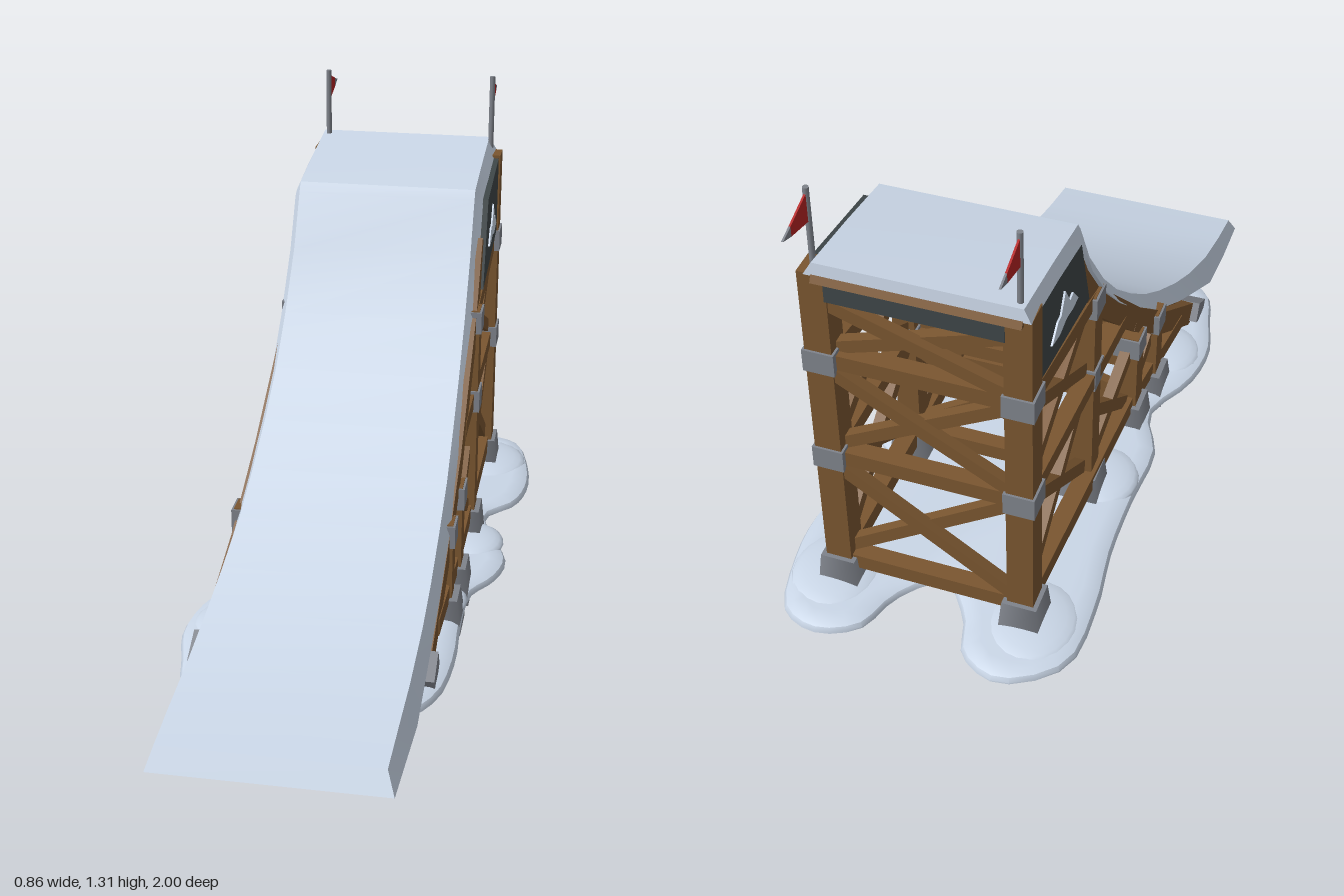
import * as THREE from 'three';
import { toCreasedNormals } from 'three/addons/utils/BufferGeometryUtils.js';

export function createModel() {
  const model = new THREE.Group();
  model.name = 'snowRamp';
  const paint = (name, color) => {
    const m = new THREE.MeshStandardMaterial({ color });
    m.name = name;
    return m;
  };
  const snow = paint('snow', 0xd0ddee);
  const wood = paint('wood', 0x7a5630);
  const steel = paint('greyMetal', 0x7f838b);
  const dark = paint('darkPanel', 0x3e4648);
  const red = paint('flagRed', 0xb52222);

  const add = (name, geometry, material) => {
    const mesh = new THREE.Mesh(geometry, material);
    mesh.name = name;
    model.add(mesh);
    return mesh;
  };
  const box = (name, w, h, d, x, y, z, material) =>
    add(name, new THREE.BoxGeometry(w, h, d), material).position.set(x, y, z);
  // Square timber between two points
  const beam = (name, a, b, w, t = w) => {
    const p = new THREE.Vector3(...a), q = new THREE.Vector3(...b);
    const mesh = add(name, new THREE.BoxGeometry(t, w, p.distanceTo(q)), wood);
    mesh.position.copy(p).add(q).multiplyScalar(0.5);
    mesh.lookAt(q);
  };
  // Flat plate in the z-y plane
  const plate = (name, points, x, thick, material) => {
    const shape = new THREE.Shape(points.map(p => new THREE.Vector2(...p)));
    const g = new THREE.ExtrudeGeometry(shape, { depth: thick, bevelEnabled: false });
    g.rotateY(-Math.PI / 2).translate(x + thick / 2, 0, 0);
    add(name, g, material);
  };

  // Ramp skin: closed loft of four-cornered sections
  const loft = (name, sections, material) => {
    const pos = [];
    const quad = (a, b, c, d) => pos.push(...a, ...b, ...c, ...a, ...c, ...d);
    for (let i = 0; i < sections.length - 1; i++) {
      const s = sections[i], t = sections[i + 1];
      for (let k = 0; k < 4; k++) quad(s[k], s[(k + 1) % 4], t[(k + 1) % 4], t[k]);
    }
    const e = sections[sections.length - 1];
    quad(...[...sections[0]].reverse());
    quad(...e);
    const g = new THREE.BufferGeometry();
    g.setAttribute('position', new THREE.Float32BufferAttribute(pos, 3));
    add(name, toCreasedNormals(g, 0.45), material);
  };
  // Rows: top z, y; underside z, y; outer left and right x
  const rows = [
    [0.965, 0.08, 1.0, 0.025, -0.36, 0.25],
    [0.83, 0.103, 0.85, 0.02, -0.357, 0.255],
    [0.68, 0.134, 0.7, 0.022, -0.35, 0.262],
    [0.515, 0.193, 0.5, 0.13, -0.337, 0.27],
    [0.39, 0.25, 0.375, 0.195, -0.325, 0.274],
    [0.25, 0.327, 0.235, 0.278, -0.31, 0.277],
    [0.12, 0.413, 0.1, 0.372, -0.3, 0.28],
    [0, 0.508, -0.02, 0.475, -0.29, 0.28],
    [-0.12, 0.615, -0.145, 0.592, -0.282, 0.28],
    [-0.235, 0.74, -0.262, 0.72, -0.277, 0.28],
    [-0.35, 0.897, -0.38, 0.88, -0.272, 0.28],
    [-0.425, 1.04, -0.455, 1.02, -0.27, 0.28],
    [-0.445, 1.067, -0.475, 1.032, -0.27, 0.28],
    [-0.64, 1.095, -0.64, 1.058, -0.27, 0.28],
    [-0.835, 1.117, -0.838, 1.08, -0.27, 0.28],
  ];
  loft('snowSlope', rows.map(([zt, yt, zb, yb, l, r]) =>
    [[l + 0.018, yt, zt], [r - 0.022, yt, zt], [r, yb, zb], [l, yb, zb]]), snow);
  // Wooden deck carrying the snow
  loft('rampDeck', rows.slice(3).map(([, , z, y, l, r]) =>
    [[l + 0.02, y + 0.004, z], [r - 0.02, y + 0.004, z],
      [r - 0.02, y - 0.014, z - 0.01], [l + 0.02, y - 0.014, z - 0.01]]), wood);

  // Frame x for a side (1 = left, -1 = right), following the slanted ramp
  const frameX = (side, z) => side > 0
    ? 0.265 - 0.03 * Math.max(0, z + 0.1)
    : -0.235 - 0.105 * Math.max(0, z + 0.35);

  // Post rows: z, post top, foot top, width, bracket heights
  const posts = [
    [-0.797, 1.08, 0.13, 0.07, [0.49, 0.81]],
    [-0.31, 0.76, 0.125, 0.064, [0.48, 0.725]],
    [0.01, 0.36, 0.11, 0.064, [0.325]],
    [0.17, 0.325, 0.1, 0.06, [0.29]],
  ];
  for (const side of [1, -1]) {
    const at = (z, y) => [frameX(side, z), y, z];
    for (const [z, top, footTop, w, brackets] of posts) {
      const x = frameX(side, z);
      box('post', w, top - 0.05, w, x, (top + 0.05) / 2, z, wood);
      const foot = new THREE.CylinderGeometry(0.066, 0.083, footTop, 4);
      foot.rotateY(Math.PI / 4);
      add('foot', foot, steel).position.set(x, footTop / 2, z);
      for (const y of brackets) box('bracket', w + 0.012, 0.065, w + 0.012, x, y, z, steel);
    }
    // Chord following the underside of the ramp
    const chord = [[0.5, 0.055], [0.22, 0.235], [0, 0.42], [-0.3, 0.72], [-0.43, 0.92]];
    for (let i = 0; i < chord.length - 1; i++)
      beam('chord', at(...chord[i]), at(...chord[i + 1]), 0.07, 0.045);
    const toe = add('chordFoot', new THREE.BoxGeometry(0.08, 0.06, 0.09), steel);
    toe.position.set(...at(0.51, 0.06));
    toe.rotation.x = 0.5;
    // Rails
    beam('bottomRail', at(0.38, 0.115), at(0.01, 0.115), 0.05);
    beam('bottomRail', at(0.01, 0.115), at(-0.8, 0.115), 0.05);
    beam('middleRail', at(-0.08, 0.48), at(-0.8, 0.485), 0.045);
    beam('topRail', at(-0.31, 0.735), at(-0.8, 0.81), 0.05);
    // Side braces
    for (const [z0, y0, z1, y1] of [
      [-0.33, 0.46, -0.78, 0.15], [-0.33, 0.15, -0.78, 0.46],
      [-0.33, 0.73, -0.78, 0.52], [-0.33, 0.51, -0.78, 0.77],
      [0, 0.31, -0.29, 0.13], [-0.04, 0.14, -0.29, 0.32],
      [0.15, 0.24, 0.03, 0.14],
    ]) beam('sideBrace', at(z0, y0), at(z1, y1), 0.038, 0.03);

    // Side panel with a painted mountain
    const px = frameX(side, -0.8);
    plate('sidePanel', [[-0.38, 0.79], [-0.765, 0.845], [-0.765, 1.072], [-0.46, 1.035]],
      px + side * 0.022, 0.016, dark);
    plate('mountainMark', [[-0.49, 0.883], [-0.53, 0.93], [-0.555, 0.925], [-0.592, 0.982],
      [-0.622, 0.93], [-0.645, 0.93], [-0.69, 0.892], [-0.63, 0.88], [-0.58, 0.89],
      [-0.53, 0.88]], px + side * 0.032, 0.006, snow);

    // Flag
    add('flagPole', new THREE.CylinderGeometry(0.008, 0.008, 0.22, 8), steel)
      .position.set(px, 1.2, -0.81);
    plate('flag', [[-0.815, 1.295], [-0.9, 1.265], [-0.9, 1.238], [-0.815, 1.218]], px, 0.005, red);
    plate('flagTip', [[-0.9, 1.265], [-0.94, 1.252], [-0.9, 1.238]], px, 0.005, steel);
  }

  // Cross frames between the two sides
  const crossFrames = [
    [-0.8, [0.115, 0.49, 0.81, 1.02]],
    [-0.31, [0.115, 0.48, 0.725]],
    [0.01, [0.115, 0.33]],
    [0.17, [0.115, 0.29]],
  ];
  for (const [z, levels] of crossFrames) {
    const l = frameX(1, z), r = frameX(-1, z);
    levels.forEach((y, i) => {
      beam('crossRail', [l, y, z], [r, y, z], 0.045);
      if (!i) return;
      const y0 = levels[i - 1] + 0.02, y1 = y - 0.02;
      beam('crossBrace', [l, y0, z + 0.012], [r, y1, z + 0.012], 0.036, 0.03);
      beam('crossBrace', [l, y1, z - 0.012], [r, y0, z - 0.012], 0.036, 0.03);
    });
  }
  box('backPanel', 0.44, 0.075, 0.016, 0.015, 1.043, -0.826, dark);

  // Snow patch on the ground, bulging in from a soft outline
  const outline = [
    [0.27, -1], [0.37, -0.96], [0.42, -0.8], [0.43, -0.65], [0.4, -0.53], [0.32, -0.43],
    [0.36, -0.3], [0.405, -0.16], [0.38, -0.05], [0.325, 0.04], [0.315, 0.2], [0.32, 0.4],
    [0.29, 0.58], [0.2, 0.68], [-0.25, 0.69], [-0.36, 0.63], [-0.4, 0.5], [-0.43, 0.37],
    [-0.41, 0.22], [-0.335, 0.05], [-0.39, -0.1], [-0.38, -0.3], [-0.38, -0.5],
    [-0.4, -0.7], [-0.38, -0.9], [-0.23, -1], [-0.12, -0.95], [-0.08, -0.84],
    [0.01, -0.74], [0.11, -0.83], [0.16, -0.95],
  ];
  const curve = new THREE.CatmullRomCurve3(
    outline.map(([x, z]) => new THREE.Vector3(x, -z, 0)), true);
  const patch = new THREE.Shape(curve.getPoints(90).slice(0, -1).map(p => new THREE.Vector2(p.x, p.y)));
  const ground = new THREE.ExtrudeGeometry(patch, {
    depth: 0.004, bevelSize: 0.05, bevelOffset: -0.05, bevelThickness: 0.024, bevelSegments: 3,
  });
  ground.rotateX(-Math.PI / 2).translate(0, 0.016, 0);
  const gp = ground.attributes.position;
  for (let i = 0; i < gp.count; i++) gp.setY(i, Math.max(gp.getY(i), 0.014));
  add('groundSnow', toCreasedNormals(ground, 0.6), snow);

  // Low drifts around the feet
  for (const [x, z, r] of [[0.29, -0.8, 0.12], [-0.26, -0.8, 0.12], [0.3, -0.25, 0.09],
    [-0.28, -0.25, 0.1], [0.24, 0.1, 0.08], [-0.31, 0.32, 0.1]]) {
    const drift = new THREE.SphereGeometry(r, 20, 6, 0, Math.PI * 2, 0, Math.PI / 2);
    drift.scale(1, 0.028 / r, 1.2);
    add('snowDrift', drift, snow).position.set(x, 0.032, z);
  }
  return model;
}
